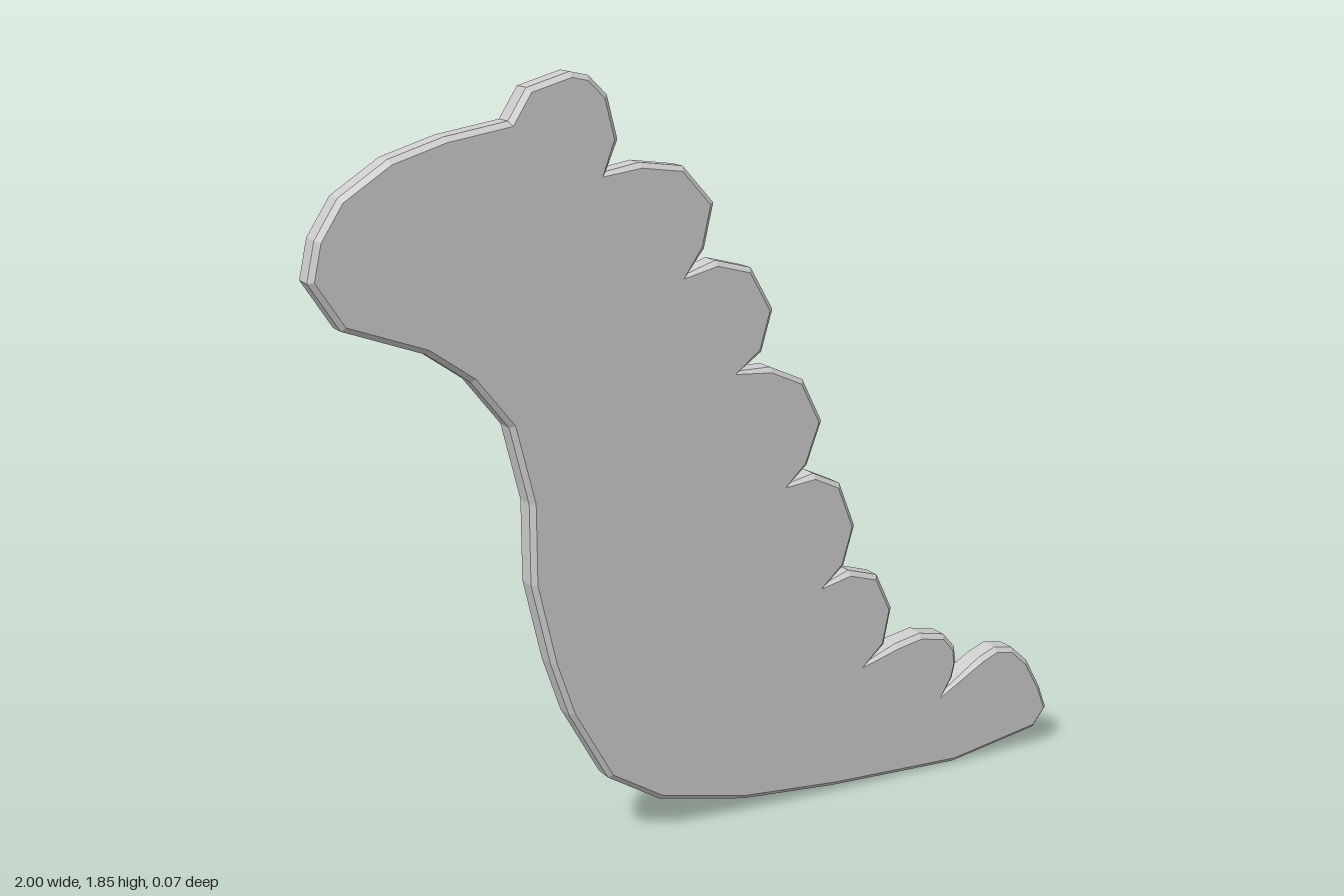
import * as THREE from 'three';

const THICKNESS = 0.072;
const BEVEL = 0.012;

// Silhouette, counter-clockwise, one run of [x, y] corners per feature
const belly = [[-0.41, 0.35], [-0.31, 0.17], [-0.17, 0.085], [0.065, 0.035], [0.33, 0.015], [0.7, 0.005]];
const tail = [[0.96, 0.05], [1, 0.1], [0.975, 0.165], [0.93, 0.245], [0.88, 0.29], [0.825, 0.3], [0.775, 0.28]];
// Each scallop starts at the notch below it
const scallops = [
  [[0.66, 0.205], [0.69, 0.24], [0.7, 0.28], [0.695, 0.325], [0.66, 0.365], [0.585, 0.38], [0.51, 0.365]],
  [[0.42, 0.33], [0.475, 0.37], [0.495, 0.465], [0.45, 0.56], [0.365, 0.585]],
  [[0.295, 0.56], [0.35, 0.6], [0.38, 0.7], [0.335, 0.815], [0.26, 0.85]],
  [[0.19, 0.835], [0.24, 0.875], [0.28, 0.98], [0.225, 1.09], [0.135, 1.13]],
  [[0.05, 1.13], [0.11, 1.17], [0.14, 1.27], [0.08, 1.375], [-0.015, 1.4]],
  [[-0.09, 1.375], [-0.045, 1.43], [-0.02, 1.535], [-0.1, 1.625], [-0.21, 1.64]],
];
const ear = [[-0.295, 1.625], [-0.265, 1.695], [-0.29, 1.795], [-0.335, 1.84], [-0.38, 1.85], [-0.485, 1.82], [-0.53, 1.75]];
const head = [[-0.68, 1.725], [-0.81, 1.685], [-0.925, 1.61], [-0.98, 1.525], [-1, 1.435], [-0.93, 1.325]];
const chest = [[-0.74, 1.255], [-0.635, 1.18], [-0.545, 1.065], [-0.5, 0.88], [-0.5, 0.685], [-0.455, 0.485]];

export function createModel() {
  const outline = [...belly, ...tail, ...scallops.flat(), ...ear, ...head, ...chest];
  const shape = new THREE.Shape(outline.map(([x, y]) => new THREE.Vector2(x, y)));

  // Flat plate with a narrow chamfer on both faces, kept inside the outline
  const geometry = new THREE.ExtrudeGeometry(shape, {
    depth: THICKNESS - 2 * BEVEL,
    bevelThickness: BEVEL,
    bevelSize: BEVEL,
    bevelOffset: -BEVEL,
    bevelSegments: 1,
  });
  geometry.translate(0, 0, BEVEL - THICKNESS / 2);

  const material = new THREE.MeshStandardMaterial({ color: 0xcccccc, flatShading: true });
  const plate = new THREE.Mesh(geometry, material);
  plate.name = 'animalSilhouettePlate';

  const group = new THREE.Group();
  group.name = 'animalCutout';
  group.add(plate);
  return group;
}
